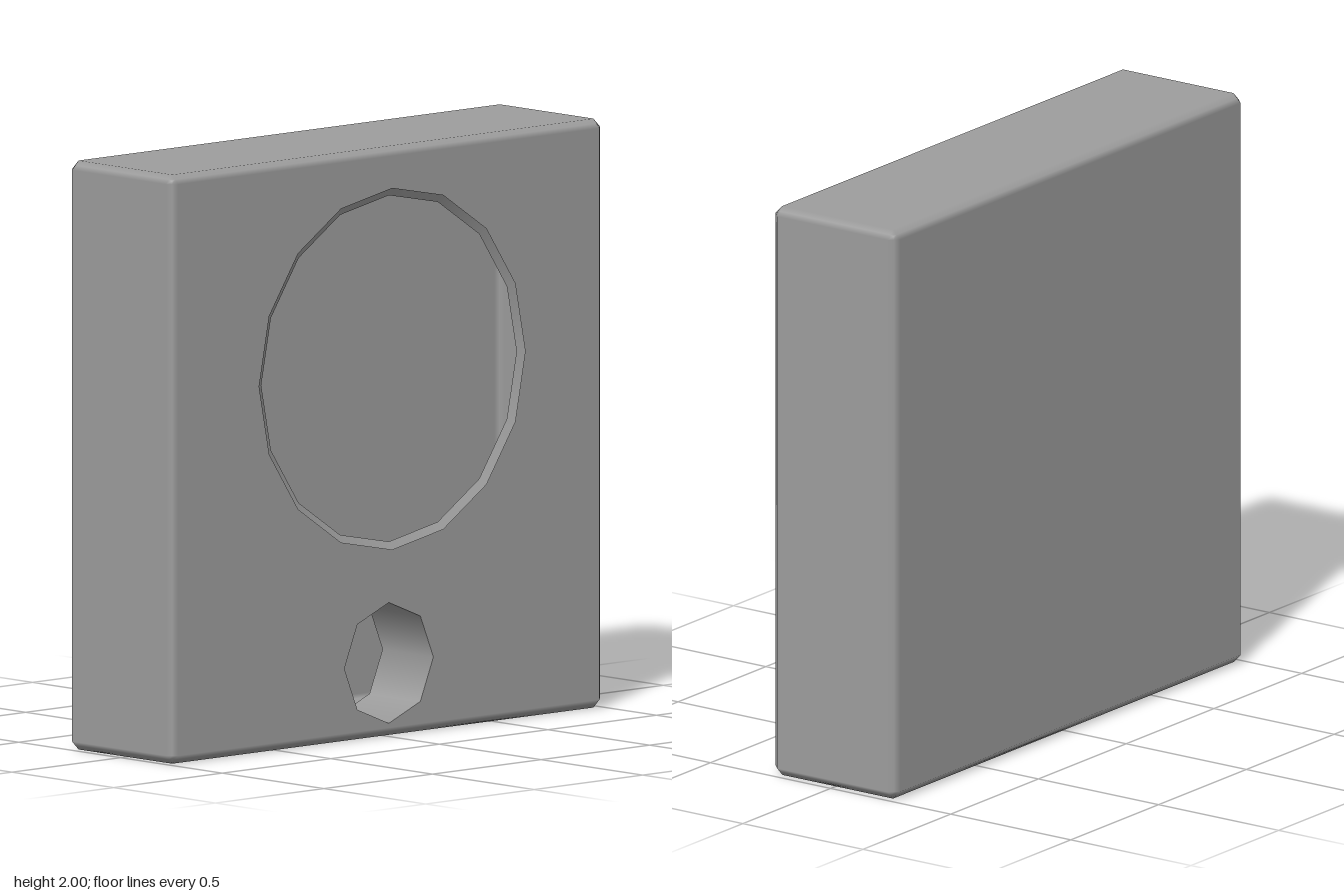
import * as THREE from 'three';
import { RoundedBoxGeometry } from 'three/addons/geometries/RoundedBoxGeometry.js';

const FRONT = 0.252, BACK = -0.268, WALL = 0.04;
const DRIVER = { y: 1.25, inner: 0.588, outer: 0.615, sides: 16 };
const PORT = { y: 0.25, r: 0.205, sides: 8, depth: 0.25 };

// regular polygon outline with a corner at the top
function polygon(r, sides, cy) {
  const pts = [];
  for (let i = 0; i < sides; i++) {
    const a = Math.PI / 2 + (i / sides) * Math.PI * 2;
    pts.push(new THREE.Vector2(Math.cos(a) * r, cy + Math.sin(a) * r));
  }
  return new THREE.Path(pts);
}

// chamfered, smooth-shaded box spanning x0..x1 whose flat +x side is left open
function openBox(x0, x1, side, bevel, inward) {
  const src = new RoundedBoxGeometry(x1 - x0, side, side, 1, bevel);
  const p = src.attributes.position, n = src.attributes.normal;
  const pos = [], nor = [];
  const sign = inward ? -1 : 1;
  const order = inward ? [0, 2, 1] : [0, 1, 2];
  const v = new THREE.Vector3(), d = new THREE.Vector3();
  for (let t = 0; t < p.count; t += 3) {
    if (order.every((k) => p.getX(t + k) > (x1 - x0) / 2 - 1e-4)) continue;
    for (const k of order) {
      v.fromBufferAttribute(p, t + k);
      d.fromBufferAttribute(n, t + k);
      // pull the rounded edge back onto a flat chamfer
      v.addScaledVector(d, bevel * (1 / d.manhattanLength() - 1));
      pos.push(v.x, v.y, v.z);
      nor.push(sign * d.x, sign * d.y, sign * d.z);
    }
  }
  const geo = new THREE.BufferGeometry();
  geo.setAttribute('position', new THREE.Float32BufferAttribute(pos, 3));
  geo.setAttribute('normal', new THREE.Float32BufferAttribute(nor, 3));
  return geo.translate((x0 + x1) / 2, 1, 0);
}

// square panel facing +x, pierced by the driver and port openings
function panel(half, x) {
  const shape = new THREE.Shape([
    new THREE.Vector2(-half, 1 - half), new THREE.Vector2(half, 1 - half),
    new THREE.Vector2(half, 1 + half), new THREE.Vector2(-half, 1 + half),
  ]);
  shape.holes.push(polygon(DRIVER.inner, DRIVER.sides, DRIVER.y));
  shape.holes.push(polygon(PORT.r, PORT.sides, PORT.y));
  return new THREE.ShapeGeometry(shape).rotateY(Math.PI / 2).translate(x, 0, 0);
}

export function createModel() {
  const group = new THREE.Group();
  const solid = new THREE.MeshStandardMaterial({ color: 0x9d9d9d });
  const thin = new THREE.MeshStandardMaterial({ color: 0x9d9d9d, side: THREE.DoubleSide });
  const add = (name, geo, mat) => {
    const mesh = new THREE.Mesh(geo, mat);
    mesh.name = name;
    group.add(mesh);
  };

  // hollow cabinet: outer skin, inner lining and a thin pierced front
  add('cabinet', openBox(BACK, FRONT, 2, 0.03, false), solid);
  add('cabinetLining', openBox(BACK + WALL, FRONT - 0.005, 2 - 2 * WALL, 0.025, true), solid);
  add('baffle', panel(0.97, FRONT), thin);

  // thin lip flaring out of the large opening, facing inward
  const lip = new THREE.LatheGeometry([
    new THREE.Vector2(DRIVER.outer, 0.016), new THREE.Vector2(DRIVER.inner, 0),
  ], DRIVER.sides);
  add('openingLip', lip.rotateZ(-Math.PI / 2).translate(FRONT, DRIVER.y, 0), solid);

  // short open tube behind the small opening
  const tube = new THREE.CylinderGeometry(PORT.r, PORT.r, PORT.depth, PORT.sides, 1, true);
  add('portTube', tube.rotateZ(-Math.PI / 2).translate(FRONT - PORT.depth / 2, PORT.y, 0), thin);

  return group;
}
